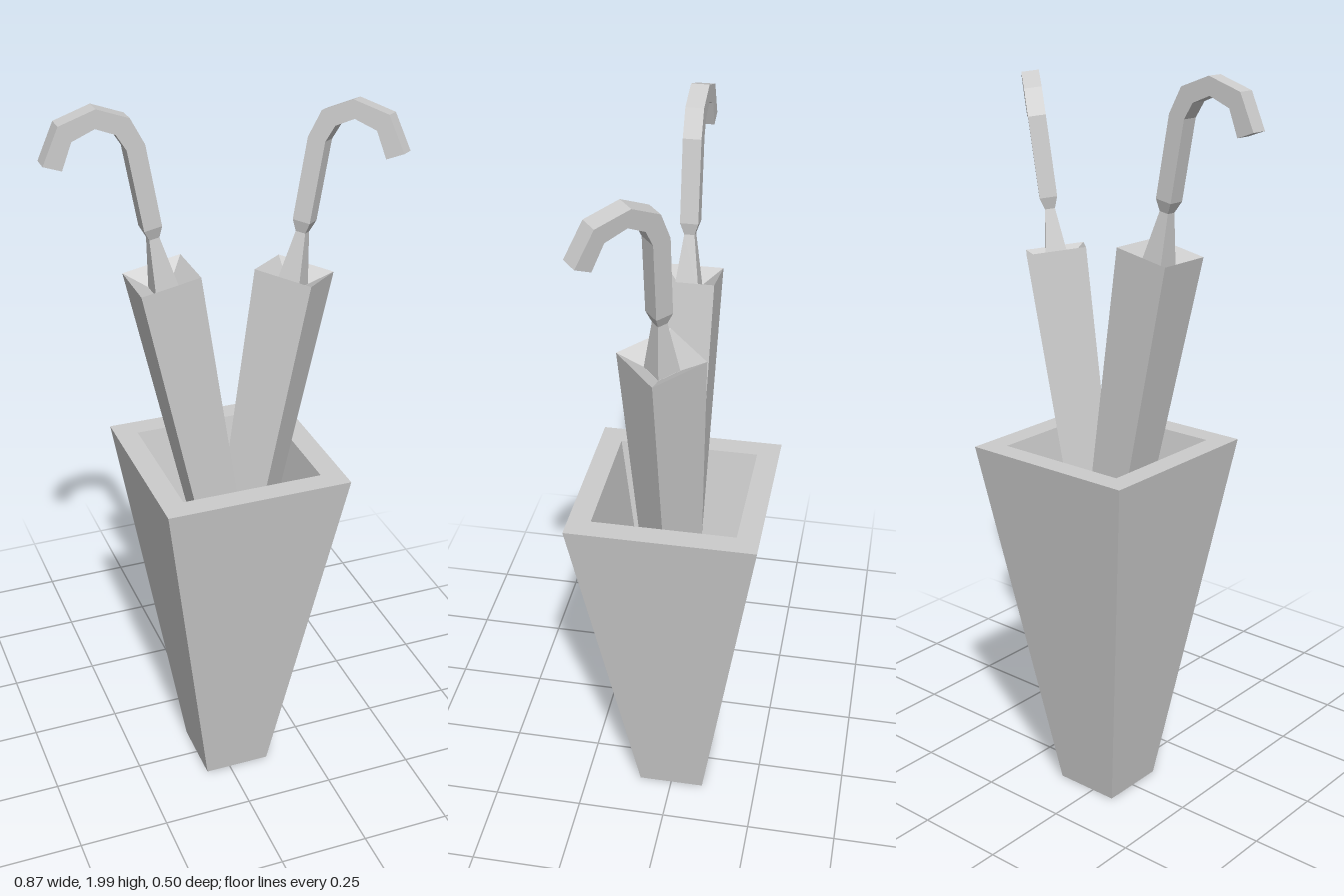
import * as THREE from 'three';

const grey = new THREE.MeshStandardMaterial({ color: 0xcccccc });
grey.name = 'plain grey';
grey.flatShading = true;

// Square-section solid from a profile of [half width, height] pairs
function squareTurned(name, profile) {
  const points = profile.map(([half, y]) => new THREE.Vector2(half * Math.SQRT2, y));
  const geometry = new THREE.LatheGeometry(points, 4, Math.PI / 4).toNonIndexed();
  geometry.computeVertexNormals();
  const mesh = new THREE.Mesh(geometry, grey);
  mesh.name = name;
  return mesh;
}

// Umbrella with its origin at the canopy's top, axis along y, hook towards +x
function createUmbrella(name) {
  const umbrella = new THREE.Group();
  umbrella.name = name;

  // Folded canopy with a sunken top
  umbrella.add(squareTurned('canopy', [
    [0, -1.09], [0.046, -1.09], [0.0775, 0], [0.032, -0.035], [0, -0.035],
  ]));

  // Shaft narrows upwards, then flares into the handle
  umbrella.add(squareTurned('shaft', [
    [0.032, -0.04], [0.013, 0.105], [0.023, 0.135],
  ]));

  // Hooked handle
  const outer = [[-0.023, 0.135], [-0.025, 0.344], [-0.003, 0.415], [0.07, 0.459], [0.164, 0.446], [0.22, 0.366]];
  const inner = [[0.023, 0.135], [0.021, 0.343], [0.038, 0.387], [0.082, 0.415], [0.142, 0.402], [0.179, 0.342]];
  const outline = [...inner, ...outer.reverse()].map(([x, y]) => new THREE.Vector2(x, y));
  const geometry = new THREE.ExtrudeGeometry(new THREE.Shape(outline), { depth: 0.046, bevelEnabled: false });
  geometry.translate(0, 0, -0.023);
  const handle = new THREE.Mesh(geometry, grey);
  handle.name = 'handle';
  umbrella.add(handle);
  return umbrella;
}

export function createModel() {
  const model = new THREE.Group();
  model.name = 'umbrellaStand';

  // Tapered stand with a hollow top
  const stand = squareTurned('stand', [
    [0, 0], [0.093, 0], [0.249, 1.017], [0.189, 1.017], [0.103, 0.45], [0, 0.45],
  ]);
  stand.position.x = 0.023;
  model.add(stand);

  // Two leaning umbrellas: position, lean and spin about the own axis
  const placements = [
    ['rightUmbrella', [-0.15, 1.557, 0], 0.188, Math.PI],
    ['leftUmbrella', [0.203, 1.518, 0.003], -0.173, -0.8],
  ];
  for (const [name, position, lean, spin] of placements) {
    const umbrella = createUmbrella(name);
    umbrella.position.set(...position);
    umbrella.rotation.set(0, spin, lean, 'ZYX');
    model.add(umbrella);
  }
  return model;
}
